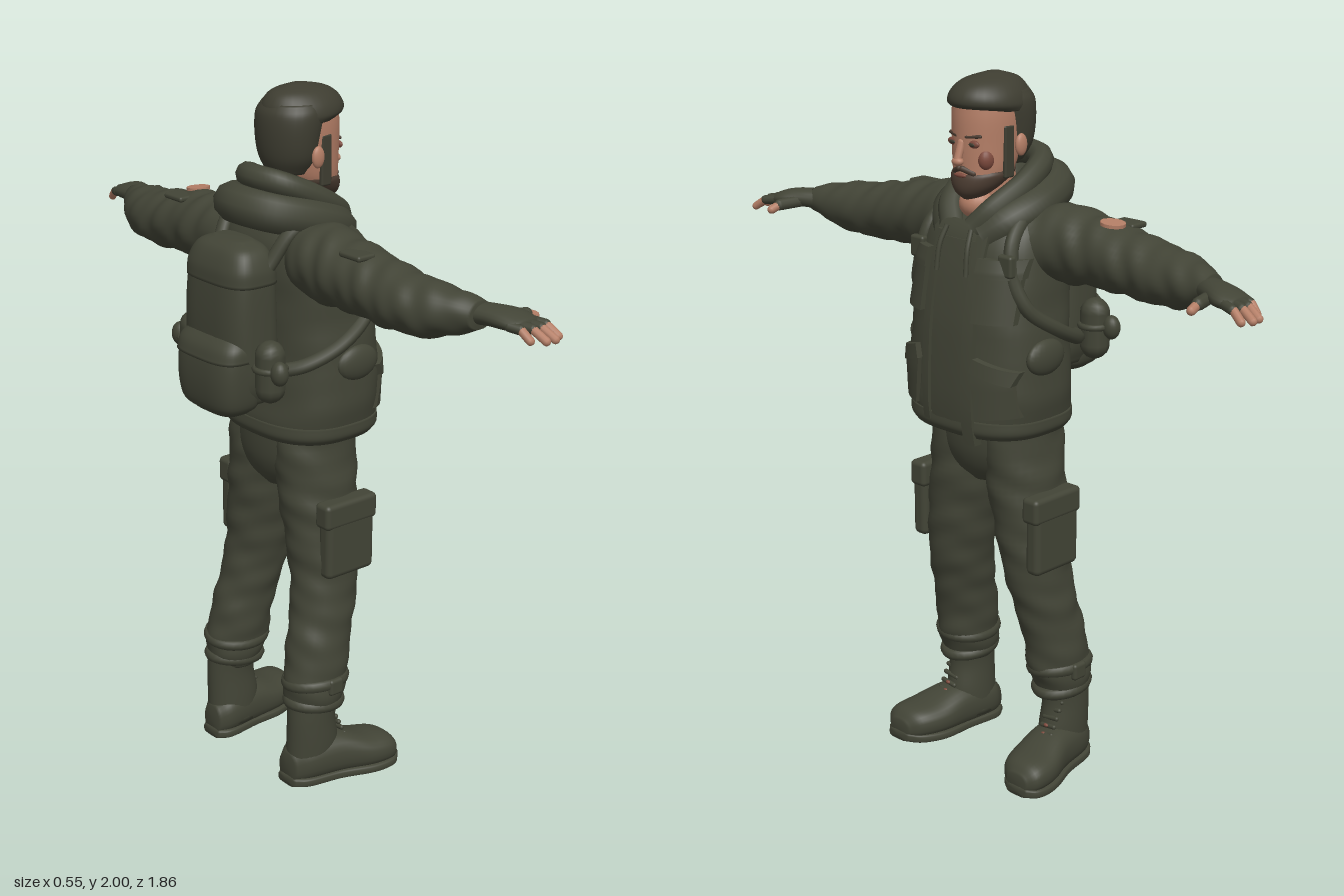
import * as THREE from 'three';
import { RoundedBoxGeometry } from 'three/addons/geometries/RoundedBoxGeometry.js';

const V = (x, y, z) => new THREE.Vector3(x, y, z);
const material = (name, color) => {
  const m = new THREE.MeshStandardMaterial({ color });
  m.name = name;
  return m;
};

// Smooth skin through rows of [position, centreA, centreB, radiusA, radiusB] along one axis
function loft(rows, { axis = 'y', n = 2, seg = 32, steps = 6, fold = 0, freq = 45 } = {}) {
  const centre = new THREE.CatmullRomCurve3(rows.map(r => V(r[0], r[1], r[2])), false, 'catmullrom');
  const radius = new THREE.CatmullRomCurve3(rows.map(r => V(r[3], r[4], 0)), false, 'catmullrom');
  const place = { x: (p, a, b) => [p, a, b], y: (p, a, b) => [a, p, b], z: (p, a, b) => [a, b, p] }[axis];
  const pos = [], idx = [], count = (rows.length - 1) * steps;
  const tri = (a, b, c) => (axis === 'y' ? idx.push(a, b, c) : idx.push(a, c, b));
  const pw = v => Math.sign(v) * Math.abs(v) ** (2 / n);
  for (let i = 0; i <= count; i++) {
    const c = centre.getPoint(i / count), r = radius.getPoint(i / count);
    for (let j = 0; j < seg; j++) {
      const t = j / seg * Math.PI * 2;
      const k = 1 + fold * (Math.sin(c.x * freq + 2 * Math.sin(t * 2 + 1)) + 0.6 * Math.sin(c.x * freq * 1.7 + 3 * Math.cos(t)));
      pos.push(...place(c.x, c.y + r.x * k * pw(Math.cos(t)), c.z + r.y * k * pw(Math.sin(t))));
    }
  }
  for (let i = 0; i < count; i++) for (let j = 0; j < seg; j++) {
    const a = i * seg + j, b = i * seg + (j + 1) % seg;
    tri(a, a + seg, b);
    tri(b, a + seg, b + seg);
  }
  // End caps
  const first = rows[0], last = rows[rows.length - 1], base = pos.length / 3;
  pos.push(...place(...first.slice(0, 3)), ...place(...last.slice(0, 3)));
  for (let j = 0; j < seg; j++) {
    const k = (j + 1) % seg;
    tri(base, j, k);
    tri(base + 1, count * seg + k, count * seg + j);
  }
  const g = new THREE.BufferGeometry();
  g.setAttribute('position', new THREE.Float32BufferAttribute(pos, 3));
  g.setIndex(idx);
  g.computeVertexNormals();
  return g;
}

function mirrored(geo) {
  const g = (geo.index ? geo.toNonIndexed() : geo.clone()).scale(-1, 1, 1);
  for (const name of Object.keys(g.attributes)) {
    const a = g.attributes[name], s = a.itemSize;
    for (let i = 0; i < a.count; i += 3) for (let k = 0; k < s; k++) {
      const q = a.array[(i + 1) * s + k];
      a.array[(i + 1) * s + k] = a.array[(i + 2) * s + k];
      a.array[(i + 2) * s + k] = q;
    }
  }
  return g;
}

const rbox = (w, h, d, x, y, z, r = 0.02) => new RoundedBoxGeometry(w, h, d, 3, r).translate(x, y, z);
const ball = (x, y, z, a, b, c) => new THREE.SphereGeometry(1, 20, 14).scale(a, b, c).translate(x, y, z);
const tube = (pts, r, seg = 32) => new THREE.TubeGeometry(new THREE.CatmullRomCurve3(pts.map(p => V(...p))), seg, r, 10);
// Band around the back of the neck, mirrored from its left half
const collar = (half, r) => tube([...half, ...half.slice(0, -1).reverse().map(([x, y, z]) => [-x, y, z])], r, 64);
function capsule(a, b, r) {
  const A = V(...a), B = V(...b), d = B.clone().sub(A);
  const g = new THREE.CapsuleGeometry(r, d.length(), 5, 10);
  g.applyQuaternion(new THREE.Quaternion().setFromUnitVectors(V(0, 1, 0), d.normalize()));
  const m = A.add(B).multiplyScalar(0.5);
  return g.translate(m.x, m.y, m.z);
}

const TORSO = [[1.04, 0, 0.08, 0.205, 0.165], [1.09, 0, 0.08, 0.225, 0.178], [1.2, 0, 0.085, 0.232, 0.172], [1.35, 0, 0.08, 0.22, 0.168],
  [1.5, 0, 0.06, 0.21, 0.16], [1.59, 0, 0.045, 0.195, 0.145], [1.645, 0, 0.03, 0.15, 0.11]];

// Depth of the jacket front at a given point
function chest(x, y) {
  let i = 0;
  while (i < TORSO.length - 2 && TORSO[i + 1][0] < y) i++;
  const a = TORSO[i], b = TORSO[i + 1], t = THREE.MathUtils.clamp((y - a[0]) / (b[0] - a[0]), 0, 1);
  const at = k => a[k] + (b[k] - a[k]) * t;
  return at(2) + at(4) * Math.max(0.04, 1 - (Math.abs(x) / at(3)) ** 2.6) ** (1 / 2.6);
}

// Slab that follows the jacket front
function panel(x, y, w, h, d, tilt = 0) {
  const g = new THREE.BoxGeometry(w, h, d, 8, 10, 1).rotateZ(tilt).translate(x, y, 0.002), p = g.attributes.position;
  for (let i = 0; i < p.count; i++) p.setZ(i, p.getZ(i) + chest(p.getX(i), p.getY(i)));
  g.computeVertexNormals();
  return g;
}

export function createModel() {
  const olive = material('olive cloth', 0x424436), hair = material('dark hair', 0x3e3d31);
  const skin = material('skin', 0xb47e66), shade = material('ruddy skin', 0x7d4a3d), stubble = material('beard brown', 0x4b3c31);
  const model = new THREE.Group(), body = new THREE.Group();
  body.name = 'figure';
  body.rotation.y = Math.PI / 2; // the figure faces +x
  model.add(body);
  const add = (name, geo, mat = olive) => {
    const m = new THREE.Mesh(geo, mat);
    m.name = name;
    body.add(m);
  };
  const pair = (name, geo, mat = olive) => {
    add(name + 'Left', geo, mat);
    add(name + 'Right', mirrored(geo), mat);
  };

  // Jacket
  add('jacket', loft(TORSO, { n: 2.6, seg: 48, fold: 0.006, freq: 38 }));
  add('hem', loft([[1.04, 0, 0.08, 0.212, 0.172], [1.06, 0, 0.08, 0.226, 0.182], [1.09, 0, 0.08, 0.227, 0.18]], { n: 2.6, seg: 48 }));
  add('hoodLower', collar([[0.055, 1.58, 0.165], [0.105, 1.62, 0.12], [0.125, 1.655, 0.03], [0.085, 1.685, -0.085], [0, 1.695, -0.12]], 0.054));
  add('hoodUpper', collar([[0.04, 1.6, 0.185], [0.078, 1.65, 0.15], [0.1, 1.71, 0.05], [0.07, 1.755, -0.045], [0, 1.765, -0.075]], 0.034));
  add('zipFlap', panel(0.085, 1.305, 0.034, 0.57, 0.026));
  add('zipEdge', panel(-0.07, 1.325, 0.026, 0.52, 0.02));
  add('placket', panel(0.01, 1.32, 0.12, 0.5, 0.01));
  pair('chestPocket', panel(0.145, 1.44, 0.1, 0.15, 0.034));
  pair('chestPocketFlap', panel(0.145, 1.51, 0.106, 0.05, 0.046));
  pair('hipPocket', panel(0.155, 1.17, 0.1, 0.13, 0.026, 0.1));
  pair('hipPocketFlap', panel(0.155, 1.235, 0.11, 0.04, 0.038, -0.3));
  pair('waistBulge', ball(0.222, 1.265, 0.1, 0.025, 0.05, 0.07));
  pair('drawstring', tube([[0.045, 1.6, 0.2], [0.052, 1.55, 0.222], [0.055, 1.48, 0.232]], 0.007, 12));

  // Sleeves
  const sleeve = [[0.1, 1.565, 0.03, 0.085, 0.11], [0.2, 1.56, 0.01, 0.106, 0.108], [0.3, 1.555, 0, 0.097, 0.1], [0.4, 1.547, 0, 0.089, 0.095],
    [0.5, 1.535, 0, 0.082, 0.09], [0.6, 1.53, 0.01, 0.074, 0.083], [0.68, 1.535, 0.03, 0.058, 0.062], [0.74, 1.54, 0.05, 0.036, 0.042]];
  pair('sleeve', loft(sleeve, { axis: 'x', fold: 0.032, freq: 52, steps: 10 }));
  pair('sleeveTab', rbox(0.08, 0.016, 0.06, 0.38, 1.63, -0.045, 0.007));
  add('shoulderPatch', new THREE.CylinderGeometry(0.034, 0.034, 0.009, 12).rotateZ(-0.1).translate(0.385, 1.642, 0.022), skin);

  // Fingerless gloves and fingers
  pair('glove', loft([[0.71, 1.54, 0.05, 0.03, 0.036], [0.76, 1.543, 0.07, 0.028, 0.045], [0.81, 1.54, 0.088, 0.026, 0.055],
    [0.85, 1.535, 0.092, 0.018, 0.048], [0.86, 1.532, 0.092, 0.01, 0.038]], { axis: 'x', seg: 20 }));
  const fingers = [[0.052, 0.07, 0.89], [0.078, 0.098, 0.917], [0.105, 0.126, 0.92], [0.13, 0.152, 0.905]];
  for (const [z0, z1, x1] of fingers) {
    const zm = z0 + (z1 - z0) * 0.6, xm = 0.84 + (x1 - 0.84) * 0.55;
    pair('gloveFinger', capsule([0.835, 1.535, z0], [xm - 0.006, 1.531, zm], 0.0135));
    pair('fingertip', capsule([xm, 1.529, zm], [x1, 1.508, z1], 0.0115), skin);
  }
  pair('gloveThumb', capsule([0.765, 1.535, 0.09], [0.782, 1.532, 0.163], 0.017));
  pair('thumbTip', capsule([0.782, 1.532, 0.165], [0.785, 1.522, 0.192], 0.0125), skin);

  // Trousers
  add('pelvis', loft([[0.87, 0, 0.055, 0.05, 0.08], [0.905, 0, 0.055, 0.13, 0.11], [0.95, 0, 0.055, 0.175, 0.129], [1.0, 0, 0.055, 0.188, 0.137],
    [1.08, 0, 0.055, 0.19, 0.139]]));
  pair('trouserLeg', loft([[0.23, 0.185, -0.015, 0.062, 0.07], [0.27, 0.185, -0.015, 0.078, 0.088], [0.33, 0.182, -0.005, 0.083, 0.098],
    [0.42, 0.175, 0.008, 0.083, 0.097], [0.52, 0.163, 0.032, 0.085, 0.098], [0.62, 0.15, 0.05, 0.09, 0.102], [0.76, 0.13, 0.055, 0.098, 0.112],
    [0.9, 0.108, 0.055, 0.1, 0.122], [1.05, 0.1, 0.055, 0.09, 0.128]], { fold: 0.022, freq: 48, steps: 8 }));
  pair('cargoPocket', rbox(0.05, 0.2, 0.17, 0.222, 0.745, 0.07, 0.018));
  pair('cargoPocketFlap', rbox(0.058, 0.075, 0.185, 0.22, 0.835, 0.07, 0.014));
  pair('cuffStrap', new THREE.TorusGeometry(0.085, 0.012, 8, 28).rotateX(Math.PI / 2).scale(0.92, 1.4, 1.08).rotateZ(0.12).translate(0.184, 0.32, -0.008));
  pair('cuffFold', new THREE.TorusGeometry(0.07, 0.015, 8, 28).rotateX(Math.PI / 2).scale(0.95, 1.2, 1.14).rotateX(0.1).translate(0.186, 0.255, -0.015));
  pair('cuffBuckle', rbox(0.025, 0.05, 0.05, 0.262, 0.32, 0.0, 0.01));

  // Boots
  pair('bootShaft', loft([[0.04, 0.185, -0.025, 0.06, 0.08], [0.12, 0.188, -0.022, 0.062, 0.082], [0.2, 0.19, -0.028, 0.06, 0.075], [0.26, 0.188, -0.025, 0.062, 0.075]]));
  pair('bootFoot', loft([[-0.108, 0.18, 0.055, 0.035, 0.045], [-0.06, 0.185, 0.07, 0.062, 0.062], [0.04, 0.2, 0.072, 0.07, 0.066],
    [0.13, 0.22, 0.06, 0.082, 0.052], [0.2, 0.235, 0.055, 0.07, 0.044], [0.232, 0.24, 0.045, 0.035, 0.025]], { axis: 'z', n: 2.4, seg: 28 }));
  pair('bootSole', loft([[-0.112, 0.18, 0.016, 0.035, 0.014], [-0.07, 0.184, 0.016, 0.06, 0.016], [0.03, 0.2, 0.016, 0.066, 0.016],
    [0.13, 0.22, 0.016, 0.083, 0.016], [0.2, 0.236, 0.018, 0.07, 0.016], [0.235, 0.242, 0.022, 0.036, 0.014]], { axis: 'z', n: 4 }));
  for (let i = 0; i < 5; i++) {
    const y = 0.12 + i * 0.022, z = 0.07 - i * 0.011;
    pair('bootLace', capsule([0.18, y, z], [0.225, y + 0.006, z], 0.007));
    if (i < 2) pair('bootEyelet', ball(0.2, y + 0.006, z + 0.006, 0.008, 0.005, 0.005), shade);
  }

  // Backpack
  add('packBody', loft([[1.17, 0, -0.15, 0.11, 0.07], [1.24, 0, -0.155, 0.132, 0.085], [1.4, 0, -0.16, 0.134, 0.088], [1.53, 0, -0.158, 0.128, 0.08],
    [1.585, 0, -0.155, 0.108, 0.064], [1.61, 0, -0.15, 0.07, 0.035]], { n: 3.2, seg: 40 }));
  add('packLid', loft([[1.505, 0, -0.158, 0.134, 0.086], [1.55, 0, -0.158, 0.13, 0.081], [1.595, 0, -0.155, 0.106, 0.062], [1.617, 0, -0.15, 0.06, 0.03]], { n: 3.2, seg: 40 }));
  add('packPouch', loft([[1.14, 0, -0.195, 0.085, 0.05], [1.17, 0, -0.2, 0.116, 0.072], [1.25, 0, -0.203, 0.126, 0.078], [1.33, 0, -0.2, 0.12, 0.07],
    [1.37, 0, -0.19, 0.09, 0.045]], { n: 3.2, seg: 40 }));
  add('packPouchFlap', loft([[1.3, 0, -0.203, 0.13, 0.079], [1.34, 0, -0.198, 0.124, 0.07], [1.38, 0, -0.185, 0.09, 0.045]], { n: 3.2, seg: 40 }));
  pair('sidePouch', capsule([0.168, 1.235, -0.16], [0.168, 1.325, -0.16], 0.042));
  pair('sidePouchBand', new THREE.TorusGeometry(0.041, 0.009, 8, 24).rotateX(Math.PI / 2).translate(0.168, 1.29, -0.16));
  pair('sidePouchClip', ball(0.22, 1.29, -0.17, 0.026, 0.034, 0.024));
  pair('shoulderStrap', tube([[0.11, 1.55, -0.12], [0.135, 1.645, -0.05], [0.14, 1.65, 0.06], [0.155, 1.58, chest(0.155, 1.58)],
    [0.175, 1.48, chest(0.175, 1.48)], [0.205, 1.4, 0.15], [0.222, 1.33, 0.05], [0.19, 1.28, -0.06], [0.12, 1.26, -0.13]], 0.02, 60));
  pair('strapBuckle', rbox(0.05, 0.06, 0.025, 0.165, 1.52, chest(0.165, 1.52) + 0.018, 0.008));

  // Head
  add('neck', new THREE.CylinderGeometry(0.062, 0.075, 0.2, 24).rotateX(0.15).translate(0, 1.68, 0.07), skin);
  add('throat', ball(0, 1.655, 0.125, 0.052, 0.045, 0.055), skin);
  add('head', loft([[1.68, 0, 0.14, 0.03, 0.03], [1.705, 0, 0.13, 0.06, 0.06], [1.75, 0, 0.105, 0.08, 0.085], [1.82, 0, 0.092, 0.087, 0.1],
    [1.9, 0, 0.085, 0.09, 0.107], [1.95, 0, 0.08, 0.08, 0.1], [1.98, 0, 0.075, 0.04, 0.05]]), skin);
  add('hairTop', loft([[1.905, 0, 0.065, 0.096, 0.106], [1.925, 0, 0.082, 0.101, 0.122], [1.955, 0, 0.083, 0.089, 0.116], [1.982, 0, 0.078, 0.062, 0.086],
    [1.999, 0, 0.07, 0.016, 0.024]], { fold: 0.005 }), hair);
  add('hairBack', loft([[1.765, 0, 0.04, 0.062, 0.06], [1.81, 0, 0.035, 0.088, 0.074], [1.87, 0, 0.037, 0.099, 0.084], [1.925, 0, 0.045, 0.1, 0.09],
    [1.955, 0, 0.055, 0.086, 0.085]]), hair);
  add('beard', loft([[1.672, 0, 0.15, 0.022, 0.026], [1.688, 0, 0.145, 0.046, 0.048], [1.71, 0, 0.13, 0.068, 0.069], [1.735, 0, 0.11, 0.082, 0.085],
    [1.748, 0, 0.1, 0.083, 0.082]]), stubble);
  pair('sideburn', rbox(0.014, 0.14, 0.036, 0.084, 1.8, 0.098, 0.006), hair);
  pair('moustache', capsule([0.006, 1.757, 0.192], [0.034, 1.745, 0.178], 0.008), stubble);
  add('lips', ball(0, 1.739, 0.194, 0.022, 0.006, 0.007), shade);
  add('noseBridge', capsule([0, 1.825, 0.188], [0, 1.782, 0.203], 0.011), skin);
  add('noseTip', ball(0, 1.777, 0.203, 0.018, 0.012, 0.014), skin);
  add('ruddyCheek', ball(0.054, 1.782, 0.15, 0.021, 0.03, 0.026), shade);
  pair('eyeSocket', ball(0.036, 1.824, 0.18, 0.021, 0.011, 0.008), shade);
  pair('eye', ball(0.036, 1.823, 0.186, 0.011, 0.005, 0.004), hair);
  pair('eyebrow', capsule([0.018, 1.842, 0.187], [0.054, 1.845, 0.173], 0.005), stubble);
  pair('ear', ball(0.096, 1.815, 0.062, 0.012, 0.03, 0.02), skin);
  return model;
}
